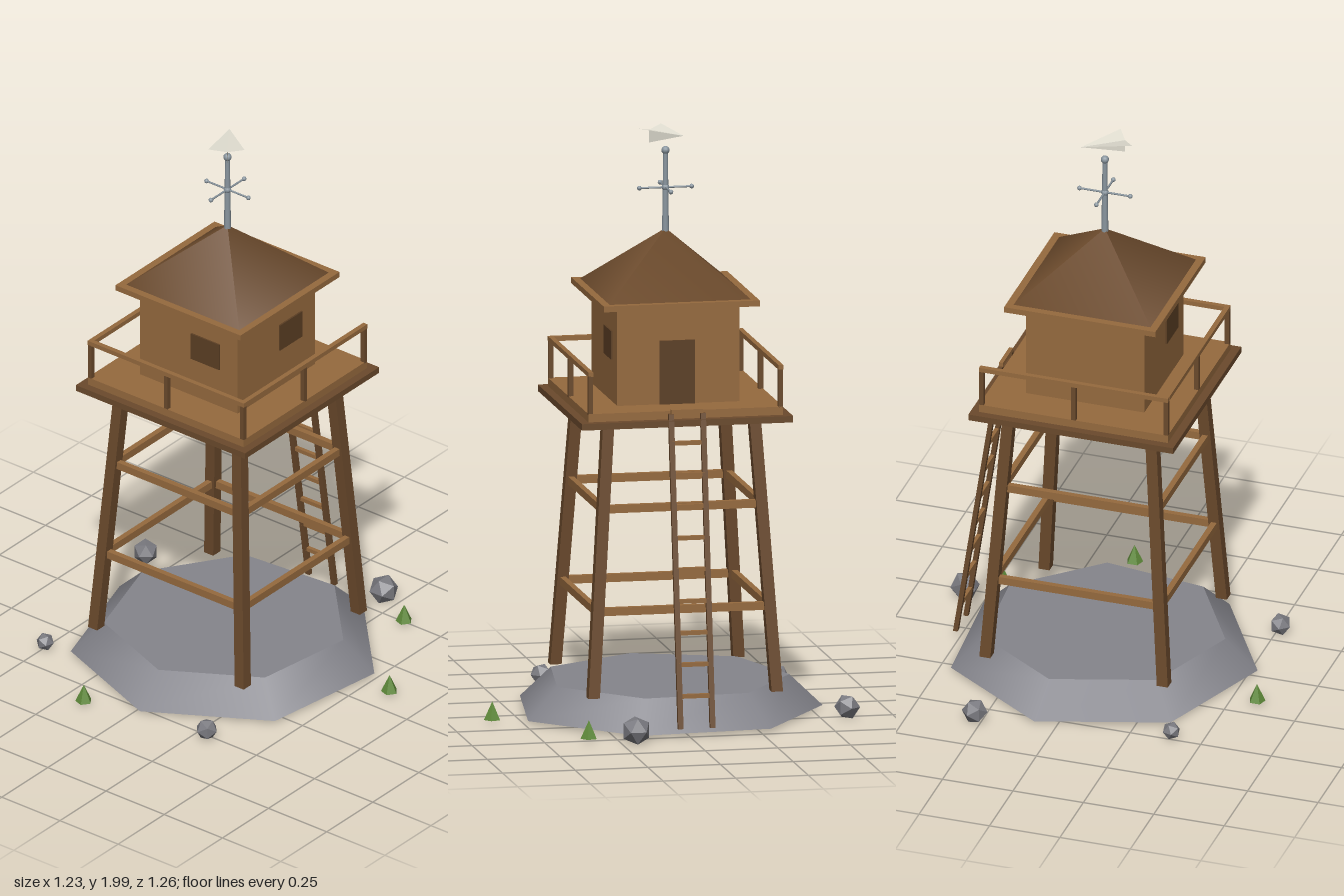
import * as THREE from 'three';

const mat = (color, extra = {}) => new THREE.MeshStandardMaterial({ color, ...extra });

export function createModel() {
  const model = new THREE.Group();
  const tower = new THREE.Group();
  tower.name = 'tower';
  tower.position.z = -0.02;
  model.add(tower);

  const wood = mat(0x966a3e), darkWood = mat(0x6b4a2c), panelWood = mat(0x5c3f24);
  const stone = mat(0x85858c), metal = mat(0x8a969f);
  const rockMat = mat(0x7a7a80, { flatShading: true });
  const bushMat = mat(0x5f8a3a, { flatShading: true });
  const paper = mat(0xe2dfd2, { side: THREE.DoubleSide, flatShading: true });

  const add = (name, geo, material, x = 0, y = 0, z = 0, parent = tower) => {
    const m = new THREE.Mesh(geo, material);
    m.name = name;
    m.position.set(x, y, z);
    parent.add(m);
    return m;
  };
  const box = (name, material, w, h, d, x, y, z) =>
    add(name, new THREE.BoxGeometry(w, h, d), material, x, y, z);

  // Slanted post with level ends, from point a up to point b
  const post = (name, material, a, b, w, d = w) => {
    const geo = new THREE.BoxGeometry(w, 1, d);
    const p = geo.attributes.position;
    for (let i = 0; i < p.count; i++) {
      const e = p.getY(i) < 0 ? a : b;
      p.setXYZ(i, p.getX(i) + e[0], e[1], p.getZ(i) + e[2]);
    }
    geo.computeVertexNormals();
    return add(name, geo, material);
  };

  // Stone mound
  const mound = add('mound', new THREE.CylinderGeometry(0.418, 0.53, 0.107, 7), stone, 0, 0.0715, 0);
  mound.rotation.y = 0.303;

  // Splayed legs
  for (const sx of [-1, 1]) for (const sz of [-1, 1])
    post('leg', darkWood, [sx * 0.315, 0.12, sz * 0.315], [sx * 0.252, 1.05, sz * 0.252], 0.039);

  // Horizontal braces on all four sides
  for (const y of [0.41, 0.757]) {
    const r = 0.315 - (0.063 * (y - 0.12)) / 0.93;
    for (const s of [-1, 1]) {
      box('brace', wood, 2 * r, 0.027, 0.02, 0, y, s * r);
      box('brace', wood, 0.02, 0.027, 2 * r, s * r, y, 0);
    }
  }

  // Platform
  box('platformFrame', darkWood, 0.727, 0.022, 0.727, 0, 1.058, 0);
  box('deck', wood, 0.67, 0.028, 0.67, 0, 1.083, 0);

  // Railing on the back, front and the side away from the ladder
  const R = 0.327;
  for (const s of [-1, 1]) {
    box('handrail', wood, 0.67, 0.016, 0.017, 0, 1.232, s * R);
    for (const x of [-R, 0, R]) box('railPost', darkWood, 0.016, 0.135, 0.016, x, 1.16, s * R);
  }
  box('handrail', wood, 0.017, 0.016, 0.64, -R, 1.232, 0);
  box('railPost', darkWood, 0.016, 0.135, 0.016, -R, 1.16, 0);

  // Cabin with door and windows
  box('cabin', wood, 0.42, 0.345, 0.42, 0, 1.268, 0);
  box('door', panelWood, 0.012, 0.218, 0.122, 0.21, 1.206, 0.004);
  box('frontWindow', panelWood, 0.122, 0.098, 0.012, 0.074, 1.291, 0.21);
  box('sideWindow', panelWood, 0.012, 0.098, 0.122, -0.21, 1.291, 0.074);

  // Roof
  box('eaves', wood, 0.537, 0.02, 0.537, 0, 1.441, 0);
  const roof = add('roof', new THREE.ConeGeometry(0.345, 0.21, 4), darkWood, 0, 1.555, 0);
  roof.rotation.y = Math.PI / 4;

  // Ladder
  const ladderX = (y) => 0.51 - (0.158 * (y - 0.04)) / 1.05;
  for (const s of [-1, 1])
    post('ladderRail', darkWood, [ladderX(0.04), 0.04, s * 0.055], [ladderX(1.09), 1.09, s * 0.055], 0.016, 0.018);
  for (let i = 0; i < 10; i++) {
    const y = 0.148 + i * 0.1055;
    box('rung', wood, 0.014, 0.014, 0.11, ladderX(y), y, 0);
  }

  // Weather vane mast, crossbars and balls
  const ball = (name, r, x, y, z) => add(name, new THREE.SphereGeometry(r, 12, 8), metal, x, y, z);
  add('mast', new THREE.CylinderGeometry(0.008, 0.012, 0.285, 10), metal, 0, 1.787, 0);
  ball('mastBall', 0.014, 0, 1.927, 0);
  ball('hub', 0.013, 0, 1.8, 0);
  for (let i = 0; i < 2; i++) {
    const bar = add('crossbar', new THREE.CylinderGeometry(0.0035, 0.0035, 0.186, 6), metal, 0, 1.8, 0);
    if (i) bar.rotation.x = Math.PI / 2;
    else bar.rotation.z = Math.PI / 2;
    for (const s of [-1, 1]) ball('barTip', 0.008, i ? 0 : s * 0.09, 1.8, i ? s * 0.09 : 0);
  }

  // Folded dart on top: two wings and a keel
  const nose = [0.07, 1.987, -0.067], wingA = [-0.098, 2, -0.025], wingB = [-0.025, 2, 0.073];
  const fold = [-0.057, 1.988, 0.024], keel = [-0.057, 1.944, 0.024];
  const dart = new THREE.BufferGeometry();
  dart.setAttribute('position', new THREE.Float32BufferAttribute(
    [nose, wingA, fold, nose, fold, wingB, nose, fold, keel].flat(), 3));
  dart.computeVertexNormals();
  add('vaneDart', dart, paper, 0, 0, 0, model);

  // Rocks: x, y, z, radius, turn
  for (const [x, y, z, r, turn] of [
    [0.57, 0.052, 0.2, 0.051, 0], [0.273, 0.047, -0.588, 0.044, 0.7],
    [-0.517, 0.045, 0.3, 0.038, 2.3], [-0.393, 0.039, -0.492, 0.031, 1.3],
  ]) add('rock', new THREE.IcosahedronGeometry(r), rockMat, x, y, z, model).rotation.y = turn;

  // Small bushes
  for (const [x, z] of [[-0.59, -0.17], [0.495, 0.347], [0.1, 0.597]])
    add('bush', new THREE.ConeGeometry(0.029, 0.063, 5), bushMat, x, 0.048, z, model);

  return model;
}
